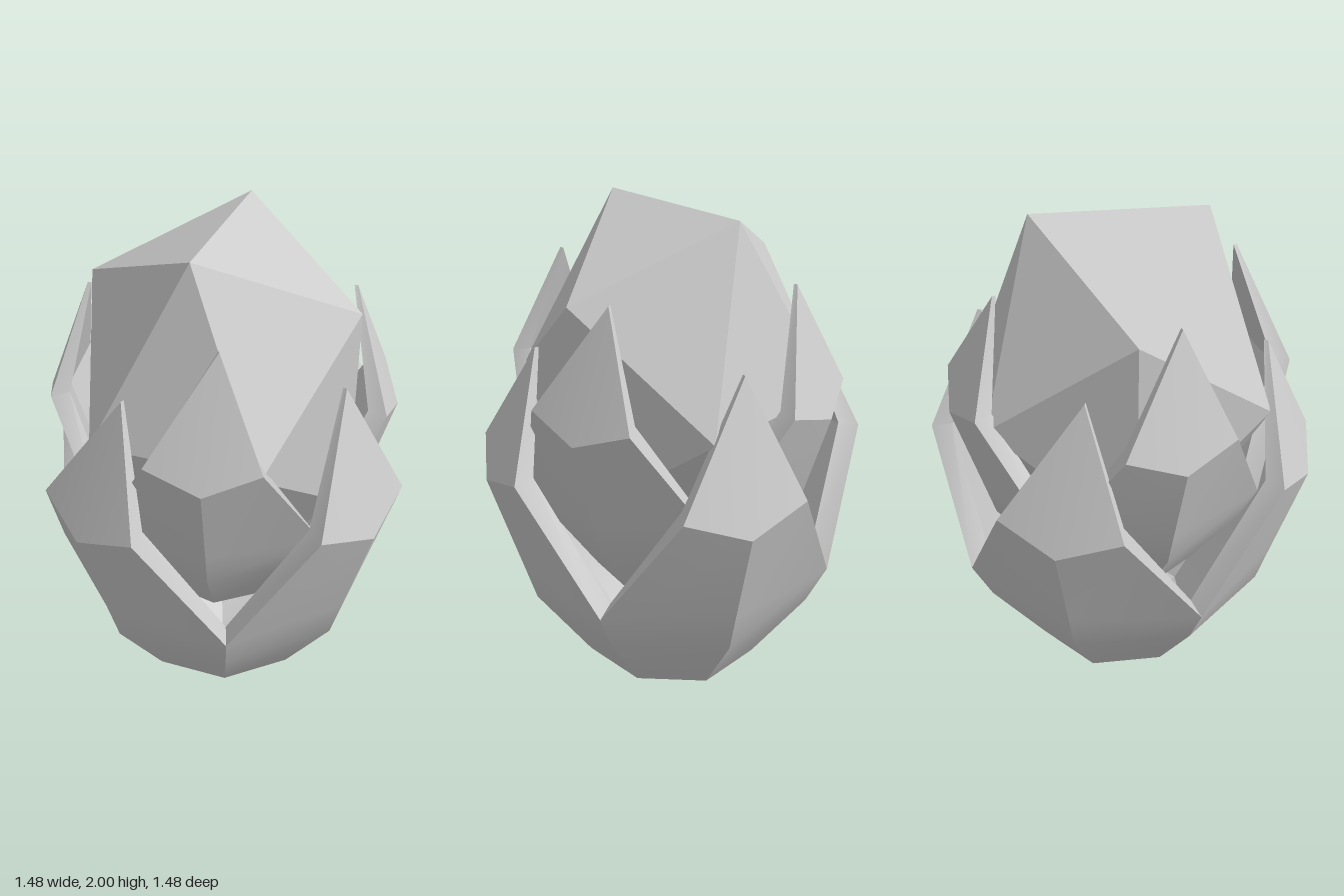
import * as THREE from 'three';
import { toCreasedNormals } from 'three/addons/utils/BufferGeometryUtils.js';

const DEG = Math.PI / 180;

// Petal rows from base to tip: mid height, edge height, mid radius, edge radius, half angle, swirl
const ROWS = [
  [0, 0, 0, 0, 45, 7.5],
  [0, 0, 0.085, 0.085, 45, 7.5],
  [0.14, 0.14, 0.37, 0.36, 45, 7.5],
  [0.46, 0.46, 0.585, 0.578, 45, 7.5],
  [0.63, 0.63, 0.633, 0.656, 45, 7.5],
  [1.03, 1.11, 0.747, 0.73, 18.5, 7.5],
  [1.55, 1.55, 0.545, 0.545, 0, 12.5],
];

// Thick petal: each row is a closed loop, left-mid-right outside then right-mid-left inside
function petalGeometry() {
  const pos = [], index = [], last = ROWS.length - 1;
  ROWS.forEach(([yMid, yEdge, rMid, rEdge, half, swirl], i) => {
    const thickness = i === last ? 0.015 : 0.08;
    const lift = 0.06 * (1 - i / last);
    for (const [side, inside] of [[-1, 0], [0, 0], [1, 0], [1, 1], [0, 1], [-1, 1]]) {
      const a = (swirl + side * half) * DEG;
      const r = Math.max(0, (side ? rEdge : rMid) - inside * thickness);
      const y = (side ? yEdge : yMid) + inside * lift * (i < last ? 1 : 0);
      pos.push(r * Math.sin(a), y, r * Math.cos(a));
    }
  });
  for (let i = 0; i < last; i++) {
    for (let j = 0; j < 6; j++) {
      const k = (j + 1) % 6;
      const a = i * 6 + j, b = i * 6 + k, c = b + 6, d = a + 6;
      index.push(a, b, c, a, c, d);
    }
  }
  const g = new THREE.BufferGeometry();
  g.setAttribute('position', new THREE.Float32BufferAttribute(pos, 3));
  g.setIndex(index);
  return toCreasedNormals(g, 0.4);
}

export function createModel() {
  const model = new THREE.Group();
  model.name = 'crystalBud';
  const petalMat = new THREE.MeshStandardMaterial({ color: 0xcccccc, side: THREE.DoubleSide });
  const crystalMat = new THREE.MeshStandardMaterial({ color: 0xcccccc, flatShading: true });

  // Two whorls of four petals, the inner one smaller, higher and turned between the outer ones
  const geometry = petalGeometry();
  const whorl = (name, scale, y, turn) => {
    const group = new THREE.Group();
    group.name = name + 'Petals';
    for (let i = 0; i < 4; i++) {
      const petal = new THREE.Mesh(geometry, petalMat);
      petal.name = name + 'Petal';
      petal.rotation.y = i * Math.PI / 2;
      group.add(petal);
    }
    group.scale.setScalar(scale);
    group.position.y = y;
    group.rotation.y = turn * DEG;
    model.add(group);
  };
  whorl('outer', 1, 0, 0);
  whorl('inner', 0.88, 0.41, 37.5);

  // Stretched crystal in the heart of the bud, one edge on top
  const crystal = new THREE.Mesh(new THREE.IcosahedronGeometry(0.6, 0), crystalMat);
  crystal.name = 'crystal';
  crystal.scale.y = 1.306;
  crystal.rotation.y = -58.28 * DEG;
  crystal.position.y = 1.333;
  model.add(crystal);

  return model;
}
